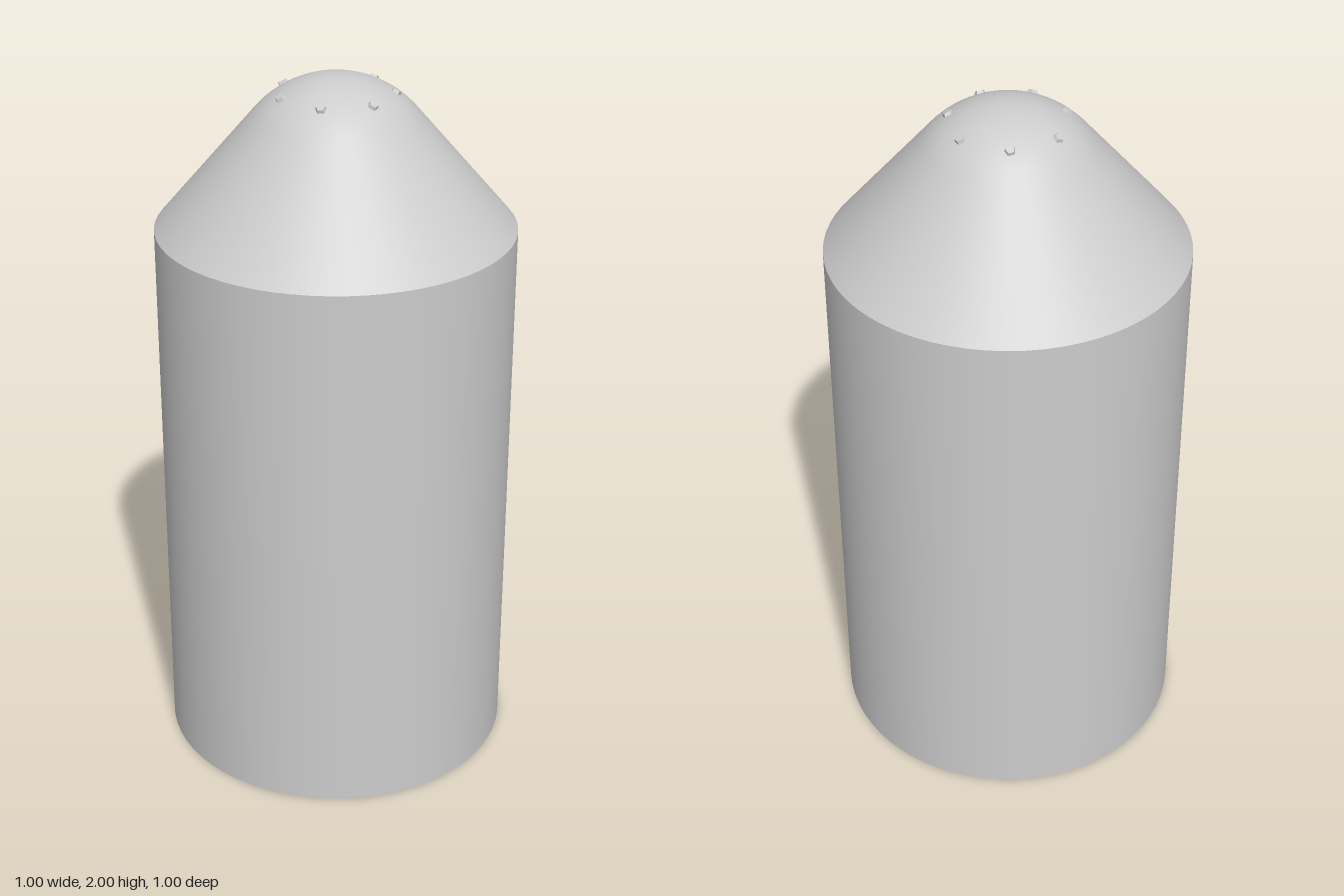
import * as THREE from 'three';

const RADIUS = 0.5, SHOULDER = 1.575, DOME_R = 0.297, HEIGHT = 2;
const SEGMENTS = 64;

export function createModel() {
  const model = new THREE.Group();
  const grey = new THREE.MeshStandardMaterial({ color: 0xcccccc });
  grey.name = 'grey';

  const add = (name, geometry, parent = model) => {
    const mesh = new THREE.Mesh(geometry, grey);
    mesh.name = name;
    parent.add(mesh);
    return mesh;
  };

  // Straight cylindrical body, closed underneath
  add('body', new THREE.CylinderGeometry(RADIUS, RADIUS, SHOULDER, SEGMENTS, 1, true))
    .position.y = SHOULDER / 2;
  add('base', new THREE.CircleGeometry(RADIUS, SEGMENTS)).rotation.x = Math.PI / 2;

  // Conical shoulder running tangentially into a spherical dome
  const centreY = HEIGHT - DOME_R;
  const tangent = 0.863; // polar angle where the cone meets the dome
  const onDome = (a) => new THREE.Vector2(DOME_R * Math.sin(a), centreY + DOME_R * Math.cos(a));
  const rim = new THREE.Vector2(RADIUS, SHOULDER);
  const meet = onDome(tangent);
  const profile = [rim, rim.clone().lerp(meet, 0.5), rim.clone().lerp(meet, 0.95)];
  for (let i = 0; i <= 14; i++) profile.push(onDome(tangent * (1 - i / 14)));
  profile[profile.length - 1].x = 0;
  add('top', new THREE.LatheGeometry(profile, SEGMENTS));

  // Ring of seven small faceted studs around the dome
  const studs = new THREE.Group();
  studs.name = 'studs';
  model.add(studs);
  const studGeometry = new THREE.CylinderGeometry(0.012, 0.019, 0.016, 5).toNonIndexed();
  studGeometry.computeVertexNormals();
  const up = new THREE.Vector3(0, 1, 0);
  const polar = Math.asin(0.16 / DOME_R);
  for (let i = 0; i < 7; i++) {
    const normal = new THREE.Vector3().setFromSphericalCoords(1, polar, Math.PI / 2 + (i * Math.PI * 2) / 7);
    const stud = add('stud', studGeometry, studs);
    stud.position.copy(normal).multiplyScalar(DOME_R);
    stud.position.y += centreY;
    stud.quaternion.setFromUnitVectors(up, normal);
    stud.rotateY(i * 1.3);
  }
  return model;
}
